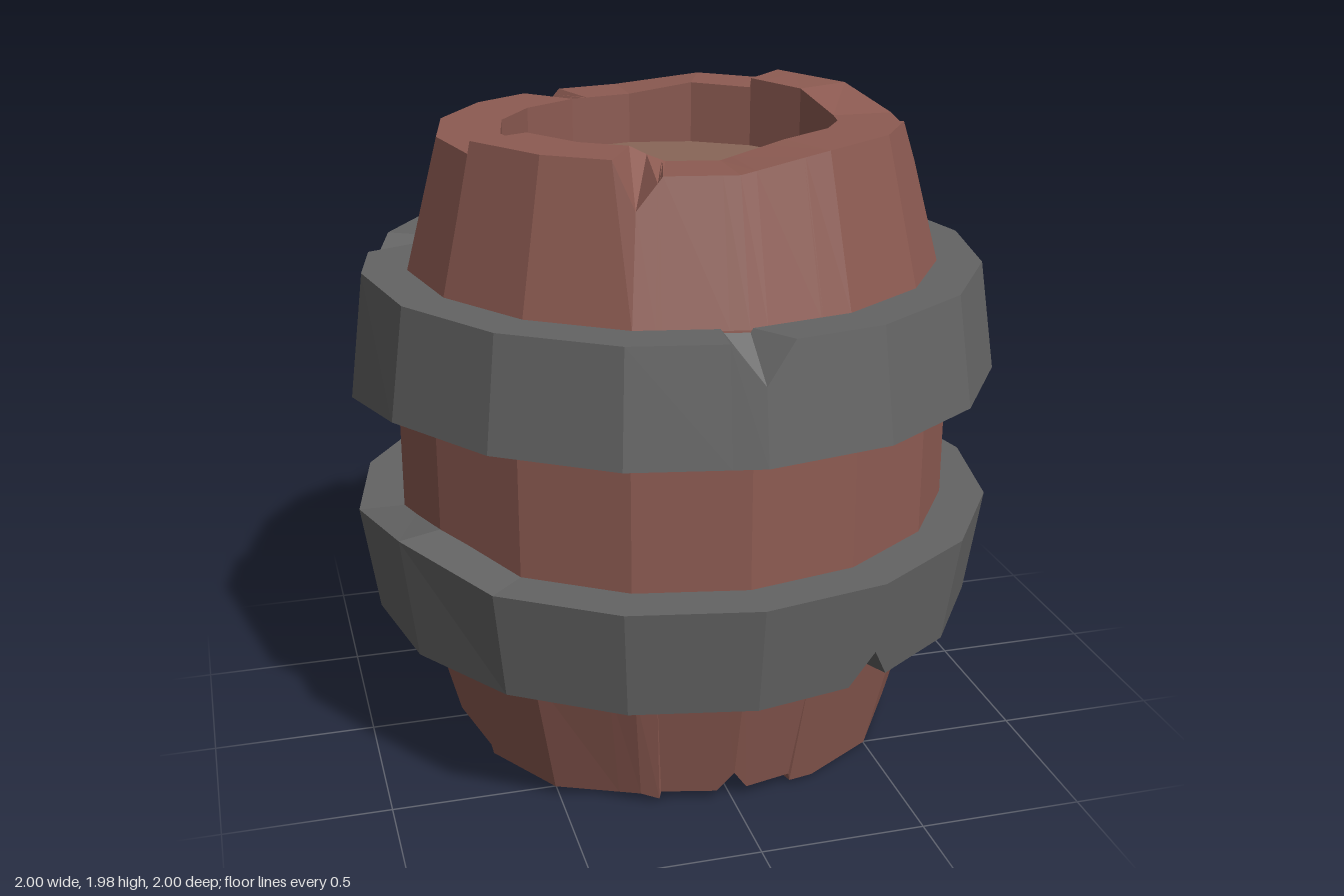
import * as THREE from 'three';

const SIDES = 16;
const material = (color) => new THREE.MeshStandardMaterial({ color, flatShading: true, side: THREE.DoubleSide });

// Height at position k (0..16 around the barrel, 0 = front, 4 = +x), linear between keys [k, y].
function sample(keys, k) {
  const n = keys.length;
  for (let i = 0; i < n; i++) {
    const [k0, y0] = keys[i];
    const k1 = i + 1 < n ? keys[i + 1][0] : keys[0][0] + SIDES;
    const y1 = keys[(i + 1) % n][1];
    const kk = k < keys[0][0] ? k + SIDES : k;
    if (kk >= k0 && kk <= k1) return k1 === k0 ? y0 : y0 + (y1 - y0) * (kk - k0) / (k1 - k0);
  }
  return keys[0][1];
}

// Whole-corner keys at a base height, with some corners changed and extra keys (chips, steps) added.
function edge(base, changes = {}, extra = []) {
  const keys = [];
  for (let k = 0; k < SIDES; k++) keys.push([k, changes[k] ?? base]);
  return keys.filter(([k]) => !extra.some((e) => e[0] === k)).concat(extra).sort((a, b) => a[0] - b[0]);
}

// Sweeps a profile around the 16-sided outline; profile(k) returns [radius, y] points.
function sweep(name, mat, edges, profile) {
  const ks = [...new Set(edges.flat().map(([k]) => k))].sort((a, b) => a - b);
  const columns = ks.map((k) => {
    const a = k * Math.PI * 2 / SIDES, half = Math.PI / SIDES;
    const f = Math.cos(half) / Math.cos((k % 1) * 2 * half - half);
    return profile(k).map(([r, y]) => [Math.sin(a) * r * f, y, Math.cos(a) * r * f]);
  });
  const positions = [];
  columns.forEach((col, i) => {
    const next = columns[(i + 1) % columns.length];
    for (let j = 0; j + 1 < col.length; j++) {
      const [a, b, c, d] = [col[j], next[j], next[j + 1], col[j + 1]];
      positions.push(...a, ...d, ...c, ...a, ...c, ...b);
    }
  });
  const geometry = new THREE.BufferGeometry();
  geometry.setAttribute('position', new THREE.Float32BufferAttribute(positions, 3));
  geometry.computeVertexNormals();
  const mesh = new THREE.Mesh(geometry, mat);
  mesh.name = name;
  return mesh;
}

export function createModel() {
  const group = new THREE.Group();
  group.name = 'barrel';
  const wood = material(0x8d5b52), lidWood = material(0x886658), iron = material(0x646464);

  // Staves: uneven rims with steps between planks and V-shaped splits
  const topSteps = [[5.99, 1.99], [6.01, 1.96], [12.99, 1.97], [13.01, 1.93]].map(([k, y], i) =>
    [k, i < 2 ? y : i === 2 ? 1.93 : 1.97]);
  const topHeights = { 1: 1.97, 2: 1.97, 5: 1.98, 6: 1.975, 7: 1.965, 13: 1.95, 14: 1.97, 15: 1.95 };
  const innerTop = edge(1.93, topHeights, [...topSteps, [14.75, 1.97], [15.25, 1.93], [2.75, 1.97], [3.25, 1.93]]);
  const outerTop = edge(1.93, topHeights, [...topSteps,
    [14.75, 1.97], [15, 1.84], [15.25, 1.93],
    [2.75, 1.97], [3, 1.84], [3.25, 1.93],
    [8.75, 1.93], [9, 1.84], [9.25, 1.93]]);
  const bottomHeights = { 1: 0.02, 2: 0.01, 4: 0.01, 9: 0.02, 10: 0.01, 14: 0.01 };
  const bottomSteps = [[0.7, 0.045], [0.72, 0.02], [8.8, 0.045], [8.82, 0.02], [10.9, 0.02], [10.92, 0.045],
    [13, 0.045], [13.02, 0.02], [15.2, 0.02], [15.22, 0.045]];
  const innerBottom = edge(0.04, bottomHeights, bottomSteps);
  const outerBottom = edge(0.04, bottomHeights, [...bottomSteps,
    [15.83, 0.04], [0, 0.11], [0.17, 0.04], [5.75, 0.04], [6, 0.15], [6.25, 0.04]]);
  const rimRadius = (d) => 0.71 + 0.25 * Math.max(0, d);
  group.add(sweep('staves', wood, [innerTop, outerTop, innerBottom, outerBottom], (k) => {
    const top = sample(outerTop, k), bottom = sample(outerBottom, k);
    return [
      [0.52, 1.76], [0.52, sample(innerTop, k)], [rimRadius(1.93 - top), top],
      [0.815, 1.53], [0.86, 1.2], [0.86, 0.78], [0.815, 0.44],
      [rimRadius(bottom - 0.04), bottom], [0.52, sample(innerBottom, k)], [0.52, 0.21],
    ];
  }));

  // Recessed lids at both ends
  for (const [name, y] of [['topLid', 1.755], ['bottomLid', 0.215]]) {
    const lid = new THREE.Mesh(new THREE.CylinderGeometry(0.52, 0.52, 0.03, SIDES), lidWood);
    lid.name = name;
    lid.position.y = y;
    group.add(lid);
  }

  // Iron hoops: inner edges stay whole where only the outer edge is chipped
  function hoop(name, topR, bottomR, innerTopY, outerTopY, innerBottomY, outerBottomY, chipTopR) {
    const slope = (bottomR - topR) / 0.335;
    const topBase = chipTopR, bottomBase = chipTopR - 0.335;
    group.add(sweep(name, iron, [innerTopY, outerTopY, innerBottomY, outerBottomY], (k) => {
      const top = sample(outerTopY, k), bottom = sample(outerBottomY, k);
      return [
        [0.8, sample(innerTopY, k)],
        [topR + slope * Math.max(0, topBase - top), top],
        [bottomR - slope * Math.max(0, bottom - bottomBase), bottom],
        [0.8, sample(innerBottomY, k)],
        [0.8, sample(innerTopY, k)],
      ];
    }));
  }
  const upperBottom = edge(1.2, { 12: 1.15 });
  hoop('upperHoop', 0.95, 1, edge(1.535),
    edge(1.535, {}, [[15.75, 1.535], [0, 1.42], [0.25, 1.535], [10.7, 1.535], [11, 1.42], [11.35, 1.535]]),
    upperBottom, upperBottom, 1.535);
  const lowerTop = edge(0.78, { 8: 0.74, 13: 0.83 });
  const lowerBottom = edge(0.445, { 4: 0.39 });
  hoop('lowerHoop', 1, 0.95, lowerTop, lowerTop, lowerBottom,
    edge(0.445, { 4: 0.39 }, [[0.8, 0.445], [1, 0.55], [1.2, 0.445]]), 0.78);

  return group;
}
